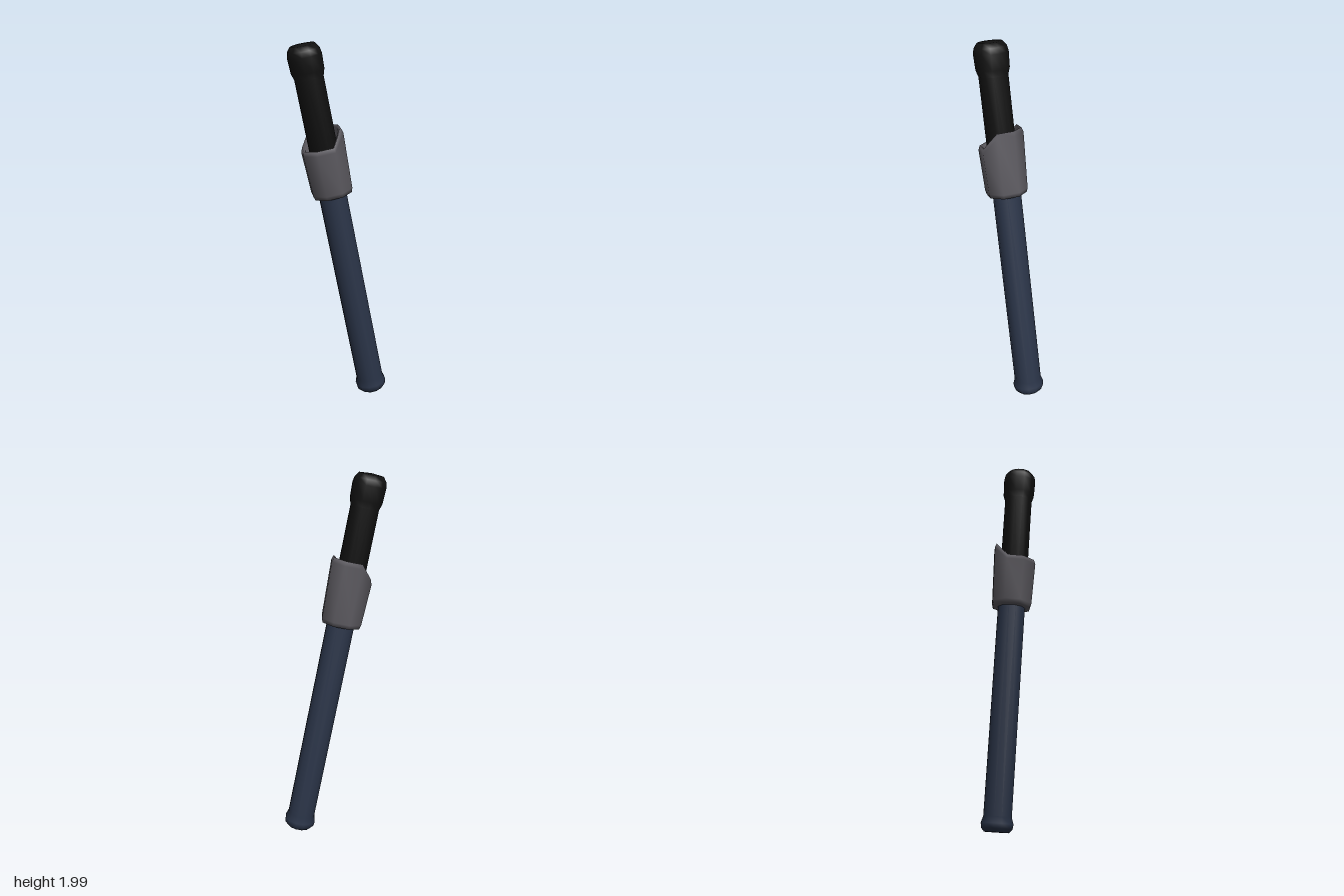
import * as THREE from 'three';
import { mergeVertices } from 'three/addons/utils/BufferGeometryUtils.js';

const points = (profile) => profile.map(([r, y]) => new THREE.Vector2(r, y));

function part(name, geometry, color) {
  const mesh = new THREE.Mesh(geometry, new THREE.MeshStandardMaterial({ color }));
  mesh.name = name;
  return mesh;
}

// Eight-sided hollow collar whose rim steps down on its -x side
function collarGeometry() {
  const rimStart = 1.5, drop = 0.08;
  const geometry = new THREE.LatheGeometry(points([
    [0.07, 1.205], [0.108, 1.207], [0.115, 1.23], [0.124, 1.535],
    [0.115, 1.56], [0.1, 1.55], [0.088, 1.4], [0.07, 1.39],
  ]), 8, Math.PI / 8);
  const pos = geometry.attributes.position;
  for (let i = 0; i < pos.count; i++) {
    if (pos.getY(i) > rimStart && pos.getX(i) < -0.02) pos.setY(i, pos.getY(i) - drop);
  }
  // Weld the seam so the shading stays smooth all the way round
  geometry.deleteAttribute('uv');
  geometry.deleteAttribute('normal');
  const welded = mergeVertices(geometry, 1e-4);
  welded.computeVertexNormals();
  return welded;
}

export function createModel() {
  const group = new THREE.Group();
  group.name = 'tubeWithGrip';

  // Long lower tube with a small flange at its foot
  const lowerTube = new THREE.LatheGeometry(points([
    [0, 0], [0.066, 0], [0.084, 0.02], [0.087, 0.045], [0.076, 0.08], [0.076, 1.3], [0, 1.3],
  ]), 12);

  // Upper grip with a rounded cap
  const grip = new THREE.LatheGeometry(points([
    [0, 1.3], [0.077, 1.3], [0.077, 1.84], [0.088, 1.875], [0.091, 1.955],
    [0.085, 1.985], [0.066, 2.01], [0, 2.016],
  ]), 12);

  group.add(
    part('lowerTube', lowerTube, 0x2a3448),
    part('collar', collarGeometry(), 0x5c5a60),
    part('grip', grip, 0x111111),
  );

  // Lean the whole shaft along its axis
  const foot = new THREE.Vector3(0.178, 0.016, 0.104);
  const axis = new THREE.Vector3(-0.356, 1.974, -0.208).normalize();
  const model = new THREE.Group();
  model.name = 'model';
  group.position.copy(foot);
  group.quaternion.setFromUnitVectors(new THREE.Vector3(0, 1, 0), axis);
  model.add(group);
  return model;
}
